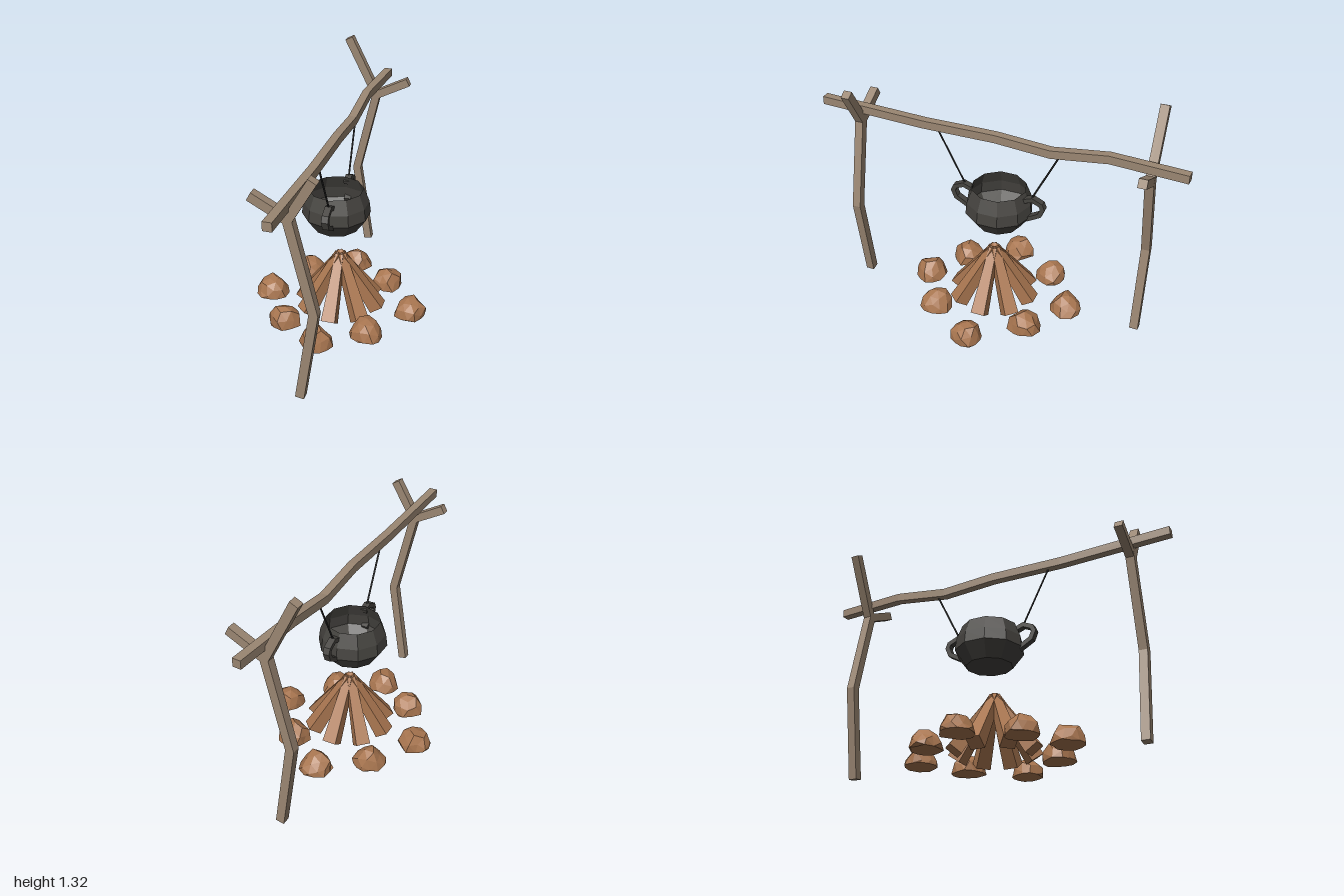
import * as THREE from 'three';

const mat = (color, side = THREE.FrontSide) =>
  new THREE.MeshStandardMaterial({ color, flatShading: true, side });
const wood = mat(0x9a8672);
const brown = mat(0xa97650);
const iron = mat(0x45433f, THREE.DoubleSide);
const cord = mat(0x2c2c2c);

const V = (x, y, z) => new THREE.Vector3(x, y, z);

function add(parent, name, geometry, material) {
  const mesh = new THREE.Mesh(geometry, material);
  mesh.name = name;
  parent.add(mesh);
  return mesh;
}

// Square bar swept along points with mitred bends; ref is the axis across the bar
function bar(points, ref, w, h) {
  const pos = [], index = [];
  const last = points.length - 1;
  points.forEach((p, i) => {
    const a = points[Math.max(i - 1, 0)], b = points[Math.min(i + 1, last)];
    const tIn = (i > 0 ? p.clone().sub(a) : b.clone().sub(p)).normalize();
    const tOut = (i < last ? b.clone().sub(p) : p.clone().sub(a)).normalize();
    const t = tIn.clone().add(tOut).normalize();
    const r = ref.clone().addScaledVector(t, -ref.dot(t)).normalize();
    const u = t.clone().cross(r).multiplyScalar(1 / t.dot(tOut));
    for (const [s, k] of [[1, 1], [-1, 1], [-1, -1], [1, -1]]) {
      const c = p.clone().addScaledVector(r, s * w / 2).addScaledVector(u, k * h / 2);
      pos.push(c.x, c.y, c.z);
    }
    if (i < last) {
      for (let j = 0; j < 4; j++) {
        const q = i * 4 + j, n = i * 4 + (j + 1) % 4;
        index.push(q, n, n + 4, q, n + 4, q + 4);
      }
    }
  });
  const e = last * 4;
  index.push(0, 2, 1, 0, 3, 2, e, e + 1, e + 2, e, e + 2, e + 3);
  const g = new THREE.BufferGeometry();
  g.setAttribute('position', new THREE.Float32BufferAttribute(pos, 3));
  g.setIndex(index);
  g.computeVertexNormals();
  return g;
}

// Thin straight rod between two points
function rod(a, b, radius) {
  const d = b.clone().sub(a);
  const g = new THREE.CylinderGeometry(radius, radius, d.length(), 6);
  g.applyQuaternion(new THREE.Quaternion().setFromUnitVectors(V(0, 1, 0), d.clone().normalize()));
  const m = a.clone().add(b).multiplyScalar(0.5);
  return g.translate(m.x, m.y, m.z);
}

// Rough dome with a flat base; equal corners get equal jitter so it stays closed
function rock(seed) {
  const g = new THREE.IcosahedronGeometry(1, 1);
  g.rotateX(seed * 1.3).rotateY(seed * 2.1);
  const p = g.attributes.position, v = V(0, 0, 0);
  for (let i = 0; i < p.count; i++) {
    v.fromBufferAttribute(p, i);
    const n = Math.sin(Math.round(v.x * 100) * 1.27 + Math.round(v.y * 100) * 3.11
      + Math.round(v.z * 100) * 7.47 + seed);
    v.multiplyScalar(1 + 0.1 * n);
    p.setXYZ(i, v.x * 0.088, Math.max(v.y, 0) * 0.104, v.z * 0.088);
  }
  g.computeVertexNormals();
  return g;
}

function forkedStand(name, z, trunk, side) {
  const stand = new THREE.Group();
  stand.name = name;
  const path = list => list.map(([x, y]) => V(x, y, z));
  add(stand, 'trunk', bar(path(trunk), V(0, 0, 1), 0.046, 0.046), wood);
  add(stand, 'sideBranch', bar(path(side), V(0, 0, 1), 0.045, 0.046), wood);
  return stand;
}

export function createModel() {
  const model = new THREE.Group();
  model.name = 'campfire';

  // Forked stands and the crooked beam resting in them
  model.add(forkedStand('frontStand', 0.78,
    [[0.025, 0.004], [0.102, 0.5], [-0.012, 0.985], [0.108, 1.19]],
    [[-0.012, 0.985], [-0.187, 1.08]]));
  model.add(forkedStand('backStand', -0.81,
    [[-0.045, 0.008], [-0.122, 0.5], [-0.01, 0.985], [-0.178, 1.315]],
    [[-0.01, 0.985], [0.178, 1.08]]));
  const beam = [[-0.027, 1.06, 1], [-0.018, 1.041, 0.4], [-0.014, 1.045, 0],
    [-0.018, 1.02, -0.3], [-0.017, 1.06, -0.6], [0.013, 1.06, -1]];
  add(model, 'beam', bar(beam.map(p => V(...p)), V(1, 0, 0), 0.045, 0.045), wood);

  // Faceted open pot
  const pot = new THREE.Group();
  pot.name = 'pot';
  pot.position.set(-0.027, 0, -0.017);
  model.add(pot);
  const profile = [[0, 0.515], [0.125, 0.517], [0.185, 0.6], [0.177, 0.665], [0.147, 0.742]];
  add(pot, 'potBody', new THREE.LatheGeometry(
    profile.map(([r, y]) => new THREE.Vector2(r, y)), 10), iron);

  // Handles and the cords they hang from
  const handle = [[0.15, 0.705], [0.195, 0.722], [0.244, 0.7], [0.254, 0.675],
    [0.238, 0.635], [0.165, 0.593]];
  for (const s of [1, -1]) {
    const pts = handle.map(([z, y]) => V(0.015, y, s * z));
    add(pot, s > 0 ? 'frontHandle' : 'backHandle', bar(pts, V(1, 0, 0), 0.036, 0.024), iron);
    add(model, s > 0 ? 'frontCord' : 'backCord',
      rod(V(-0.012, 0.72, s * 0.187 - 0.017), V(-0.015, 1.02, s * 0.337 - 0.014), 0.005), cord);
  }

  // Cone of leaning logs
  const logs = new THREE.Group();
  logs.name = 'logs';
  model.add(logs);
  for (let i = 0; i < 8; i++) {
    const g = new THREE.CylinderGeometry(0.031, 0.055, 0.38, 4);
    g.rotateY(Math.PI / 4).rotateZ(0.607).translate(0.108, 0.2, 0);
    add(logs, 'log', g, brown).rotation.y = i * Math.PI / 4;
  }

  // Ring of rocks
  const ring = [[-0.4, 0], [-0.25, -0.255], [-0.02, -0.42], [0.21, -0.26],
    [0.4, 0], [0.22, 0.255], [-0.015, 0.405], [-0.24, 0.26]];
  const rocks = new THREE.Group();
  rocks.name = 'rocks';
  model.add(rocks);
  ring.forEach(([x, z], i) => add(rocks, 'rock', rock(i + 1), brown).position.set(x, 0.032, z));

  return model;
}
